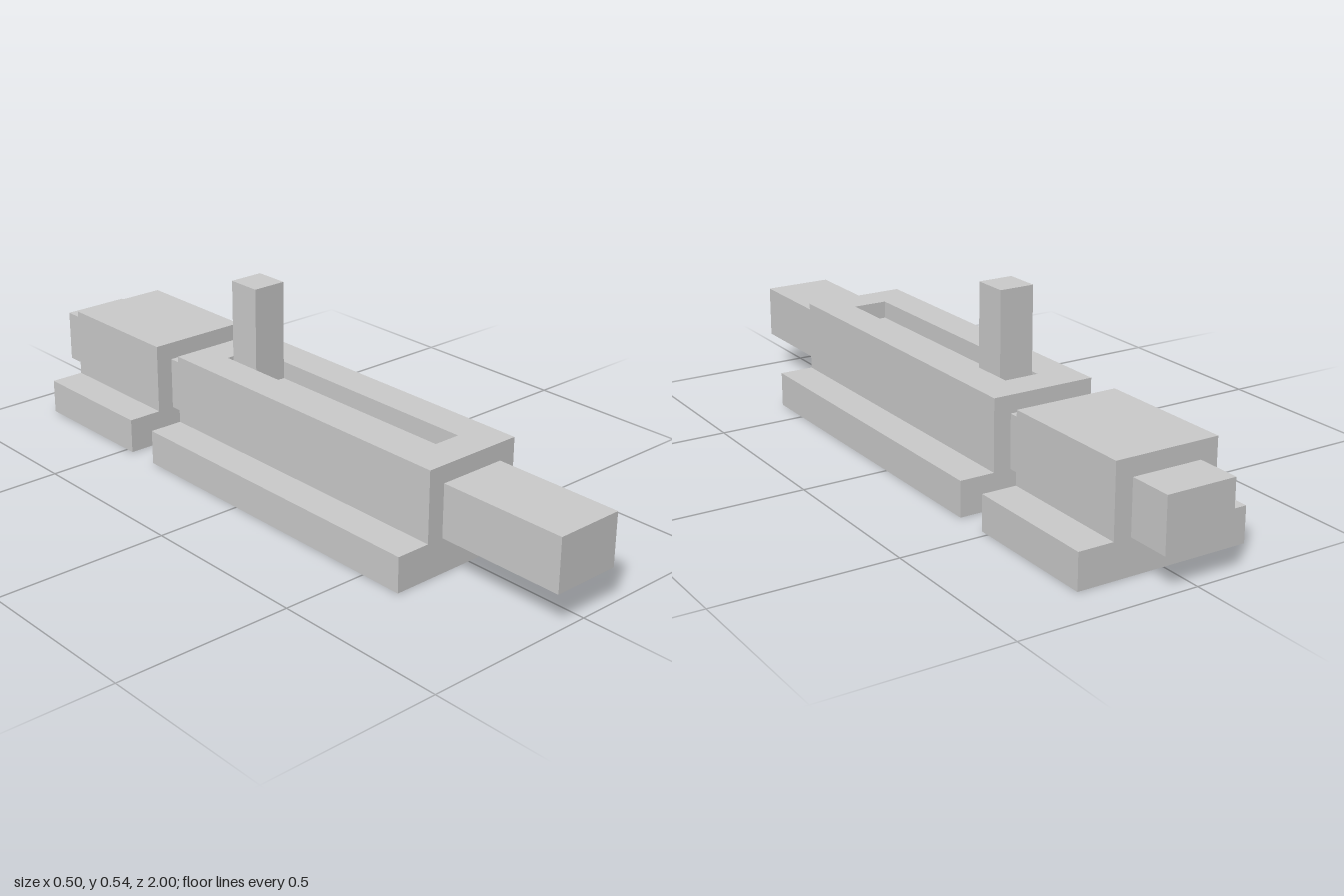
import * as THREE from 'three';

const material = new THREE.MeshStandardMaterial({ color: 0xcccccc, flatShading: true });

function add(parent, name, geometry) {
  const mesh = new THREE.Mesh(geometry, material);
  mesh.name = name;
  parent.add(mesh);
  return mesh;
}

// Box given by its extents on each axis
function box(x0, x1, y0, y1, z0, z1) {
  return new THREE.BoxGeometry(x1 - x0, y1 - y0, z1 - z0)
    .translate((x0 + x1) / 2, (y0 + y1) / 2, (z0 + z1) / 2);
}

function polygon(points) {
  return new THREE.Shape(points.map(([x, y]) => new THREE.Vector2(x, y)));
}

function rectangle(halfWidth, v0, v1) {
  return polygon([[-halfWidth, v0], [halfWidth, v0], [halfWidth, v1], [-halfWidth, v1]]);
}

// Profile in x/y extruded along z
function alongZ(shape, z0, z1) {
  return new THREE.ExtrudeGeometry(shape, { depth: z1 - z0, bevelEnabled: false }).translate(0, 0, z0);
}

// Mirrors one half of an outline to the left side
function mirrored(half) {
  return polygon([...half, ...half.slice().reverse().map(([x, y]) => [-x, y])]);
}

export function createModel() {
  const model = new THREE.Group();
  model.name = 'slidingBolt';

  // Long housing: flanged channel closed by a slotted roof
  const housing = new THREE.Group();
  housing.name = 'housing';
  model.add(housing);
  const channel = mirrored([[0.25, 0], [0.25, 0.1], [0.15, 0.1], [0.15, 0.25], [0.1, 0.25], [0.1, 0.1]]);
  add(housing, 'housingChannel', alongZ(channel, -0.375, 0.625));

  const roof = rectangle(0.15, -0.375, 0.625);
  roof.holes.push(rectangle(0.05, -0.275, 0.525));
  const roofGeometry = new THREE.ExtrudeGeometry(roof, { depth: 0.05, bevelEnabled: false });
  add(housing, 'slottedRoof', roofGeometry.rotateX(Math.PI / 2).translate(0, 0.3, 0));

  // Keeper: short flanged block with a tunnel for the bolt
  const keeper = mirrored([[0.25, 0], [0.25, 0.1], [0.15, 0.1], [0.15, 0.3]]);
  keeper.holes.push(rectangle(0.1, 0.1, 0.25));
  add(model, 'keeper', alongZ(keeper, -0.875, -0.475));

  // Sliding bar and its upright handle
  const bolt = new THREE.Group();
  bolt.name = 'bolt';
  model.add(bolt);
  add(bolt, 'bar', box(-0.1, 0.1, 0.1, 0.25, -1, 1));
  add(bolt, 'handle', box(-0.05, 0.05, 0.25, 0.535, -0.25, -0.15));

  return model;
}
